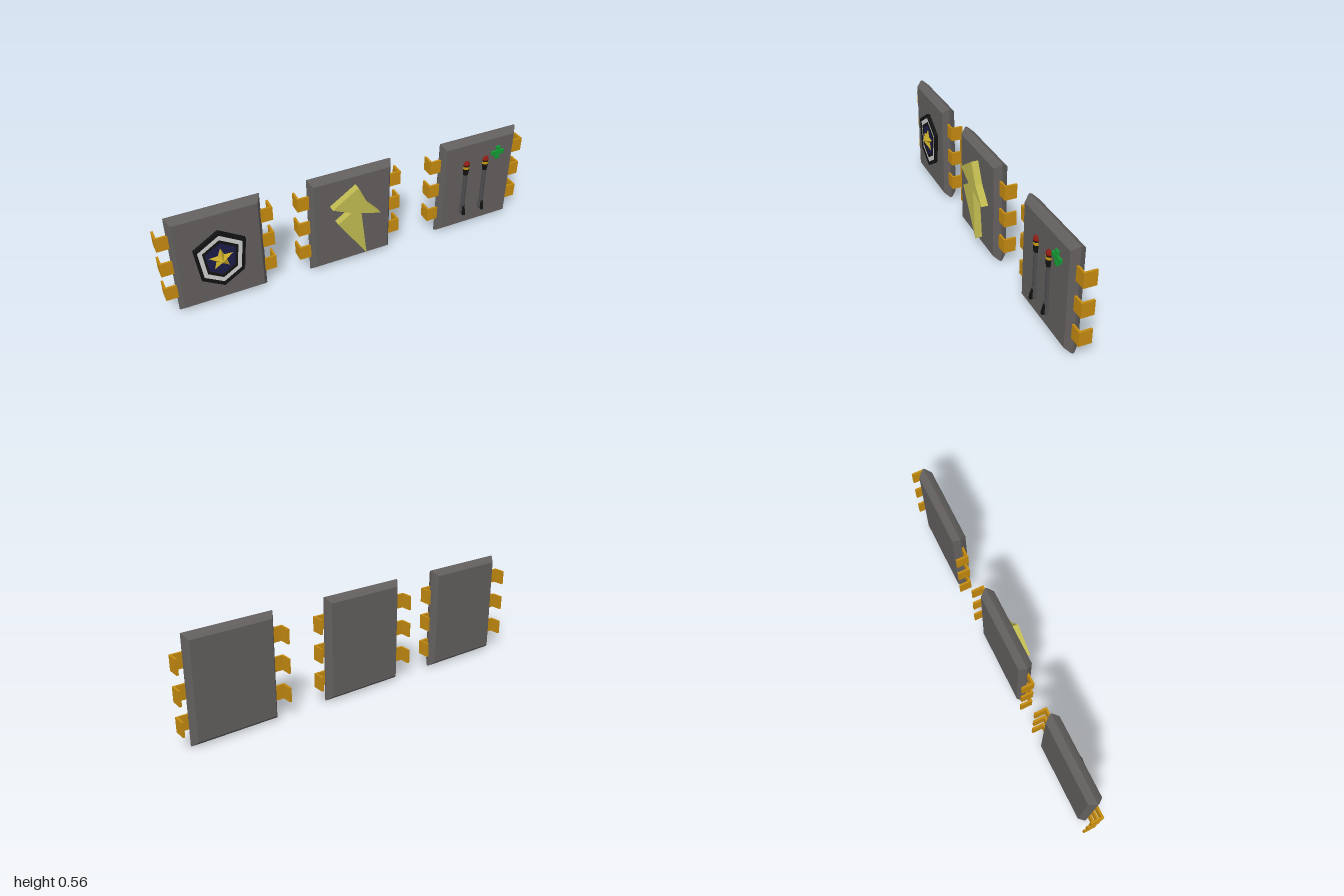
import * as THREE from 'three';
import { toCreasedNormals } from 'three/addons/utils/BufferGeometryUtils.js';
import { RoundedBoxGeometry } from 'three/addons/geometries/RoundedBoxGeometry.js';

const mat = (color) => new THREE.MeshStandardMaterial({ color });
const M = {
  panel: mat(0x625e5e), clip: mat(0xc48a10), black: mat(0x121212), white: mat(0xc4c4c4),
  navy: mat(0x1c1c48), star: mat(0xc4a828), bolt: mat(0xc0ba50), rod: mat(0x4c4c4e),
  red: mat(0x8c1c14), yellow: mat(0xc49a10), green: mat(0x129a34),
};
const FRONT = 0.023; // z of the panels' front faces
const MID_Y = 0.278;

function add(parent, name, geometry, material, x = 0, y = 0, z = 0) {
  const mesh = new THREE.Mesh(geometry, material);
  mesh.name = name;
  mesh.position.set(x, y, z);
  parent.add(mesh);
  return mesh;
}

const shapeOf = (points) => new THREE.Shape(points.map(([x, y]) => new THREE.Vector2(x, y)));
const extrude = (shape, depth) => new THREE.ExtrudeGeometry(shape, { depth, bevelEnabled: false });

// Bevelled slab: a four-sided lathe stretched to the panel's outline
function panelGeometry() {
  const profile = [[0, -0.0355], [0.9, -0.0355], [0.985, -0.009], [1, 0], [0.985, 0.009], [0.9, 0.0355], [0, 0.0355]];
  const geo = new THREE.LatheGeometry(profile.map(([r, y]) => new THREE.Vector2(r * Math.SQRT2, y)), 4);
  geo.rotateY(Math.PI / 4).rotateX(Math.PI / 2).scale(0.2275, 0.2775, 1);
  return toCreasedNormals(geo, 0.6);
}

// Panel with three L-shaped clips on each side
function createPanel(name, x) {
  const group = new THREE.Group();
  group.name = name;
  group.position.x = x;
  add(group, 'panel', panelGeometry(), M.panel, 0, MID_Y, -0.0125);
  for (const side of [-1, 1]) {
    for (const y of [0.126, 0.277, 0.428]) {
      const clip = new THREE.Group();
      clip.name = 'clip';
      clip.position.y = y;
      add(clip, 'clipArm', new THREE.BoxGeometry(0.07, 0.076, 0.01), M.clip, side * 0.247, 0, -0.005);
      add(clip, 'clipFlange', new THREE.BoxGeometry(0.011, 0.076, 0.065), M.clip, side * 0.2775, 0, -0.0325);
      group.add(clip);
    }
  }
  return group;
}

// Six-sided shield outline at a given scale
function shieldPoints(s) {
  return [[0, 0.163], [-0.128, 0.082], [-0.107, -0.098], [0, -0.165], [0.107, -0.098], [0.128, 0.082]]
    .map(([x, y]) => [x * s, y * s]);
}
function shieldRing(outer, inner, depth) {
  const shape = shapeOf(shieldPoints(outer));
  shape.holes.push(shapeOf(shieldPoints(inner)));
  return extrude(shape, depth);
}

// Five-pointed star with a raised centre
function starGeometry(outer, inner, height) {
  const pts = [];
  for (let i = 0; i < 10; i++) {
    const a = Math.PI / 2 + (i * Math.PI) / 5;
    const r = i % 2 ? inner : outer;
    pts.push([Math.cos(a) * r, Math.sin(a) * r]);
  }
  const pos = [];
  pts.forEach((p, i) => {
    const q = pts[(i + 1) % 10];
    pos.push(0, 0, height, ...p, 0, ...q, 0);
  });
  const geo = new THREE.BufferGeometry();
  geo.setAttribute('position', new THREE.Float32BufferAttribute(pos, 3));
  geo.computeVertexNormals();
  return geo;
}

function createBadge() {
  const badge = new THREE.Group();
  badge.name = 'badge';
  badge.position.set(0, MID_Y, FRONT - 0.003);
  add(badge, 'outerRim', shieldRing(1, 0.87, 0.021), M.black);
  add(badge, 'whiteBand', shieldRing(0.88, 0.68, 0.017), M.white);
  add(badge, 'innerRim', shieldRing(0.69, 0.59, 0.02), M.black);
  add(badge, 'field', extrude(shapeOf(shieldPoints(0.6)), 0.015), M.navy);
  add(badge, 'star', starGeometry(0.064, 0.027, 0.03), M.star, 0, 0, 0.017);
  return badge;
}

// Slim rod with a banded collar, red tip and wedge-shaped foot
function createRod(x) {
  const rod = new THREE.Group();
  rod.name = 'rod';
  rod.position.set(x, 0, 0.021);
  const section = (name, y0, y1, r0, r1, material) =>
    add(rod, name, new THREE.CylinderGeometry(r1, r0, y1 - y0, 16), material, 0, (y0 + y1) / 2, 0);
  section('shaft', 0.16, 0.355, 0.014, 0.014, M.rod);
  section('foot', 0.098, 0.163, 0.0165, 0.0165, M.rod);
  section('lowerCollar', 0.35, 0.388, 0.015, 0.0185, M.black);
  section('band', 0.388, 0.402, 0.0185, 0.0185, M.yellow);
  section('upperCollar', 0.402, 0.412, 0.0175, 0.0175, M.black);
  const tip = [[0.018, 0], [0.019, 0.006], [0.016, 0.015], [0.009, 0.022], [0, 0.025]];
  add(rod, 'tip', new THREE.LatheGeometry(tip.map(([r, y]) => new THREE.Vector2(r, y)), 16), M.red, 0, 0.41, 0);
  const wedge = extrude(shapeOf([[0, 0.165], [0, 0.095], [0.028, 0.095], [0.026, 0.115], [0.014, 0.155]]), 0.014);
  wedge.rotateY(-Math.PI / 2);
  add(rod, 'footWedge', wedge, M.black, 0.007, 0, 0);
  return rod;
}

// Cross made of five softened blocks
function createCross() {
  const cross = new THREE.Group();
  cross.name = 'cross';
  cross.position.set(0.11, 0.439, FRONT + 0.003);
  for (const [i, j] of [[0, 0], [1, 0], [-1, 0], [0, 1], [0, -1]]) {
    add(cross, 'crossBlock', new RoundedBoxGeometry(0.0255, 0.0255, 0.014, 2, 0.003), M.green, i * 0.0255, j * 0.0255, 0);
  }
  return cross;
}

export function createModel() {
  const model = new THREE.Group();
  model.name = 'panelSet';

  const badgePanel = createPanel('badgePanel', -0.717);
  badgePanel.add(createBadge());

  const boltPanel = createPanel('boltPanel', -0.025);
  const boltShape = shapeOf([[0.017, 0.483], [-0.122, 0.39], [-0.022, 0.342], [-0.095, 0.294],
    [0.064, 0.058], [0.033, 0.326], [0.143, 0.291], [0.067, 0.375]]);
  add(boltPanel, 'bolt', extrude(boltShape, 0.042), M.bolt, 0, 0, FRONT - 0.005);

  const rodPanel = createPanel('rodPanel', 0.717);
  rodPanel.add(createRod(-0.078), createRod(0.04), createCross());

  model.add(badgePanel, boltPanel, rodPanel);
  return model;
}
